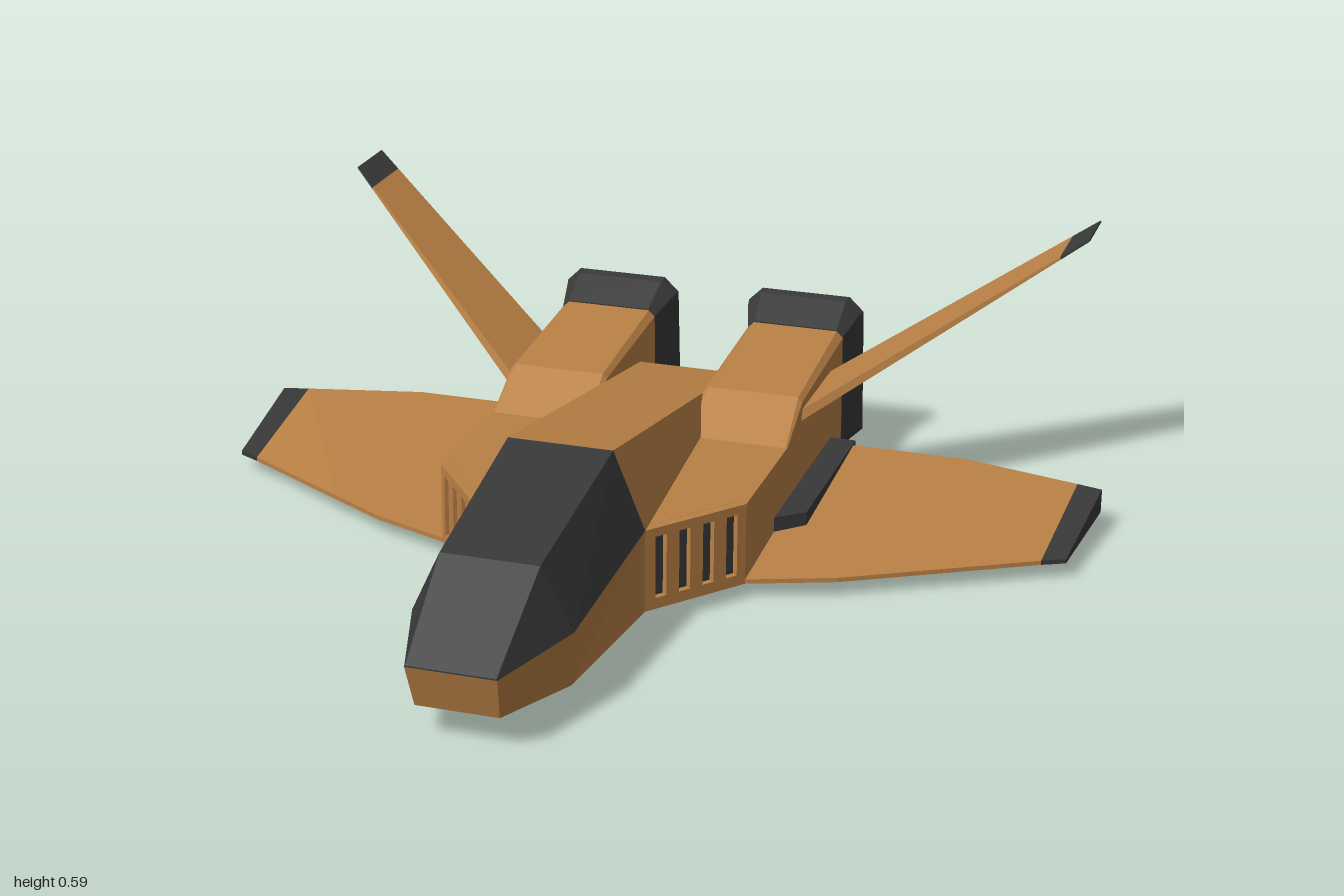
import * as THREE from 'three';

const paint = new THREE.MeshStandardMaterial({ color: 0xb98045, flatShading: true });
const dark = new THREE.MeshStandardMaterial({ color: 0x383838, flatShading: true });

// Closed solid through rings of equal point count; winding is fixed from its signed volume
function loft(rings) {
  const n = rings[0].length, tris = [];
  for (let r = 0; r < rings.length - 1; r++) {
    const a = rings[r], b = rings[r + 1];
    for (let i = 0; i < n; i++) {
      const j = (i + 1) % n;
      tris.push([a[i], b[i], b[j]], [a[i], b[j], a[j]]);
    }
  }
  const first = rings[0], last = rings[rings.length - 1];
  for (let i = 1; i < n - 1; i++) {
    tris.push([first[0], first[i], first[i + 1]], [last[0], last[i + 1], last[i]]);
  }
  const v = (p) => new THREE.Vector3(...p);
  const volume = tris.reduce((s, [a, b, c]) => s + v(a).dot(v(b).cross(v(c))), 0);
  if (volume < 0) tris.forEach((t) => t.reverse());
  const geo = new THREE.BufferGeometry();
  geo.setAttribute('position', new THREE.Float32BufferAttribute(tris.flat(2), 3));
  geo.computeVertexNormals();
  return geo;
}

// Mirror across x = 0, swapping corners so faces still point outward
function mirrored(geo) {
  const g = (geo.index ? geo.toNonIndexed() : geo.clone()).scale(-1, 1, 1);
  const p = g.attributes.position;
  for (let i = 0; i < p.count; i += 3) {
    const a = [p.getX(i), p.getY(i), p.getZ(i)];
    p.setXYZ(i, p.getX(i + 1), p.getY(i + 1), p.getZ(i + 1));
    p.setXYZ(i + 1, ...a);
  }
  g.computeVertexNormals();
  return g;
}

// Symmetric four-cornered fuselage ring: lower pair, then upper pair
const quad = ([xb, yb, zb], [xt, yt, zt]) => [[-xb, yb, zb], [xb, yb, zb], [xt, yt, zt], [-xt, yt, zt]];

// Rectangle with cut corners; z may differ between bottom and top
function octagon(x0, x1, y0, y1, c, zBottom, zTop) {
  const outline = [[x0 + c, y0], [x1 - c, y0], [x1, y0 + c], [x1, y1 - c],
    [x1 - c, y1], [x0 + c, y1], [x0, y1 - c], [x0, y0 + c]];
  return outline.map(([x, y]) => [x, y, zBottom + (zTop - zBottom) * (y - y0) / (y1 - y0)]);
}

// Wedge wing ring, thin in front and thick behind
const wingRing = ([xl, zl, xt, zt]) => [[xl, 0.035, zl], [xl, 0.045, zl], [xt, 0.09, zt], [xt, 0.035, zt]];

// Fin ring at a fraction along the span, root to tip
function finRing(t) {
  const mix = (a, b) => a + (b - a) * t;
  const x = mix(0.335, 0.895), y = mix(0.247, 0.585), h = mix(0.011, 0.002);
  const front = mix(-0.35, -0.785), back = mix(-0.605, -0.935);
  const dx = h * 0.52, dy = h * 0.85;
  return [[x + dx, y - dy, front], [x - dx, y + dy, front], [x - dx, y + dy, back], [x + dx, y - dy, back]];
}

// Slanted intake plate with slots, and the frame it sits in
const slant = new THREE.Vector3(0.16, 0, -0.2);
const plateLength = slant.length(), plateHeight = 0.185, plateDepth = 0.02;
const along = slant.clone().normalize(), up = new THREE.Vector3(0, 1, 0);
const out = along.clone().cross(up);
const plateFrame = new THREE.Matrix4().makeBasis(along, up, out)
  .setPosition(new THREE.Vector3(0.185, 0.035, 0.29).addScaledVector(out, -plateDepth));

function rect(path, x, y, w, h) {
  path.moveTo(x, y).lineTo(x + w, y).lineTo(x + w, y + h).lineTo(x, y + h).closePath();
  return path;
}

function grille() {
  const shape = rect(new THREE.Shape(), 0, 0, plateLength, plateHeight);
  for (let i = 0; i < 4; i++) {
    shape.holes.push(rect(new THREE.Path(), 0.026 + i * 0.06, 0.025, 0.028, 0.14));
  }
  return new THREE.ExtrudeGeometry(shape, { depth: plateDepth, bevelEnabled: false }).applyMatrix4(plateFrame);
}

function intakeBlock() {
  const shape = new THREE.Shape([[0.1, 0.277], [0.169, 0.277], [0.329, 0.077], [0.345, 0.09], [0.345, -0.3], [0.1, -0.3]]
    .map(([x, z]) => new THREE.Vector2(x, -z)));
  return new THREE.ExtrudeGeometry(shape, { depth: 0.185, bevelEnabled: false })
    .rotateX(-Math.PI / 2).translate(0, 0.035, 0);
}

export function createModel() {
  const model = new THREE.Group();
  model.name = 'aircraft';
  const add = (name, geo, mat) => {
    const mesh = new THREE.Mesh(geo, mat);
    mesh.name = name;
    model.add(mesh);
  };
  const addPair = (name, geo, mat) => {
    add(name + 'Left', geo, mat);
    add(name + 'Right', mirrored(geo), mat);
  };

  // Nose, canopy and tapering spine
  add('nose', loft([
    quad([0.088, 0.07, 0.90], [0.095, 0.165, 0.93]),
    quad([0.15, 0.035, 0.66], [0.17, 0.172, 0.70]),
    quad([0.185, 0.035, 0.29], [0.185, 0.22, 0.29]),
  ]), paint);
  add('canopy', loft([
    quad([0.095, 0.165, 0.93], [0.093, 0.168, 0.93]),
    quad([0.17, 0.172, 0.70], [0.105, 0.31, 0.71]),
    quad([0.185, 0.22, 0.29], [0.115, 0.39, 0.29]),
  ]), dark);
  const spineRing = (z, w, shoulder, top) => [[-w, 0.035, z], [w, 0.035, z], [w, shoulder, z],
    [0.115, top, z], [-0.115, top, z], [-w, shoulder, z]];
  add('spine', loft([spineRing(0.29, 0.185, 0.22, 0.39), spineRing(-0.61, 0.118, 0.215, 0.235)]), paint);

  // Intakes with slotted plates and dark backing
  addPair('intake', intakeBlock(), paint);
  addPair('intakeGrille', grille(), paint);
  addPair('intakeBacking', new THREE.BoxGeometry(plateLength - 0.03, plateHeight - 0.02, 0.006)
    .translate(plateLength / 2, plateHeight / 2, 0.003).applyMatrix4(plateFrame), dark);

  // Engine housings rising towards the rear
  const engineRing = (z, top, c) => [[0.115, 0.035, z], [0.345, 0.035, z], [0.345, top - c, z],
    [0.345 - c, top, z], [0.115 + c, top, z], [0.115, top - c, z]];
  addPair('engine', loft([
    engineRing(-0.235, 0.22, 0.003), engineRing(-0.36, 0.293, 0.01), engineRing(-0.73, 0.325, 0.015),
  ]), paint);

  // Flared nozzles with a recessed rear panel
  addPair('nozzle', loft([
    octagon(0.115, 0.345, 0.032, 0.327, 0.016, -0.735, -0.72),
    octagon(0.092, 0.362, 0.008, 0.37, 0.032, -0.835, -0.80),
    octagon(0.088, 0.368, 0, 0.375, 0.034, -0.856, -0.822),
    octagon(0.112, 0.344, 0.026, 0.349, 0.026, -0.856, -0.822),
    octagon(0.122, 0.334, 0.036, 0.339, 0.022, -0.832, -0.798),
  ]), dark);

  // Wings with dark tips
  const bandEdge = [0.925, -0.205, 0.94, -0.545];
  addPair('wing', loft([
    [0.25, 0.13, 0.25, -0.61], [0.345, 0.09, 0.345, -0.61], [0.53, 0.02, 0.53, -0.61],
    [0.66, -0.054, 0.67, -0.61], bandEdge,
  ].map(wingRing)), paint);
  addPair('wingTip', loft([bandEdge, [0.975, -0.23, 0.998, -0.53]].map(wingRing)), dark);

  // Dark strips along the wing roots
  const stripRing = (x, front) => [[x, 0.037, front], [x, 0.094, front], [x, 0.094, -0.63], [x, 0.037, -0.63]];
  addPair('wingRootStrip', loft([stripRing(0.34, -0.135), stripRing(0.405, -0.19)]), dark);

  // Canted tail fins with dark tips
  addPair('fin', loft([finRing(0), finRing(0.9)]), paint);
  addPair('finTip', loft([finRing(0.9), finRing(1)]), dark);

  return model;
}
